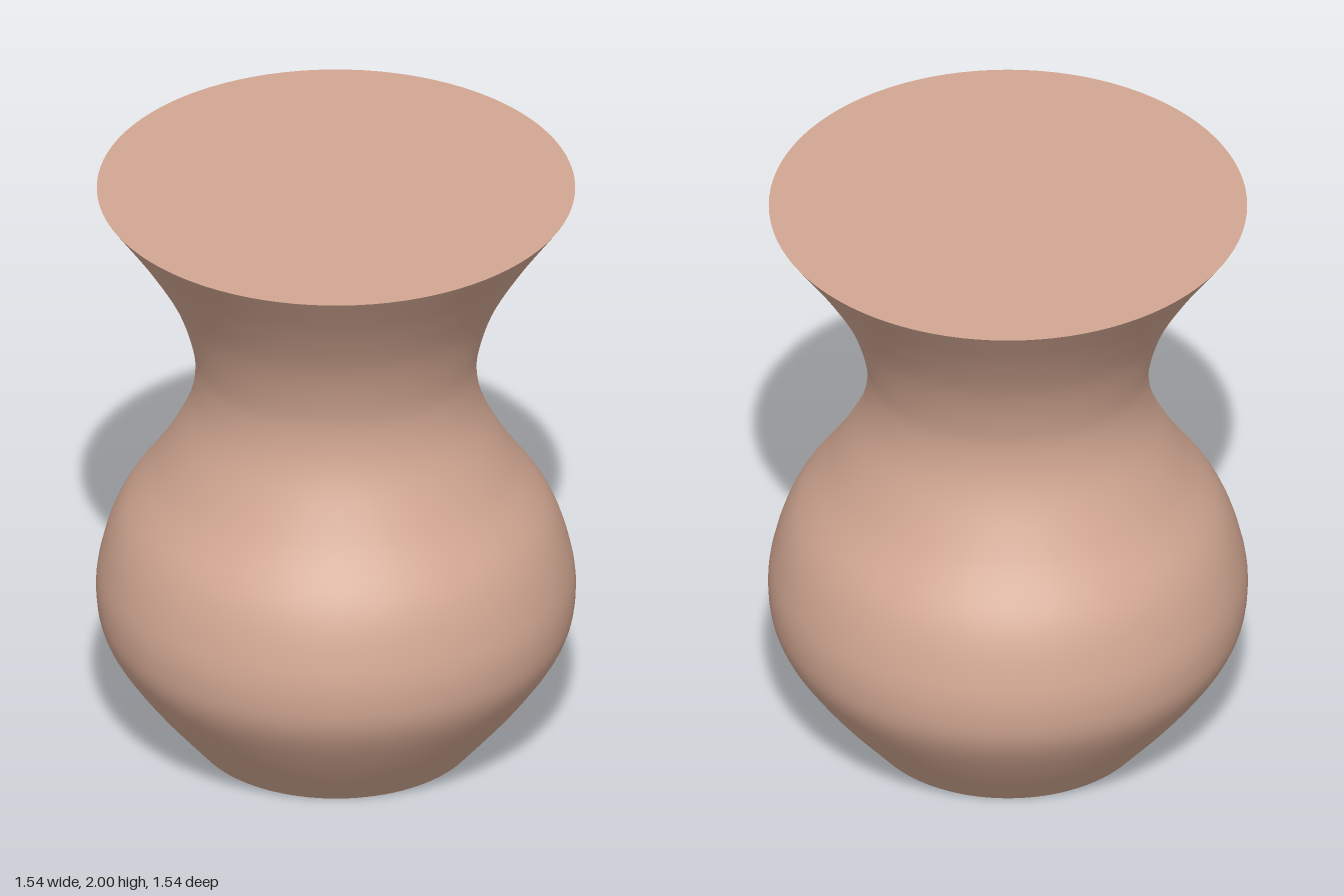
import * as THREE from 'three';

export function createModel() {
  const group = new THREE.Group();
  const clay = new THREE.MeshStandardMaterial({ color: 0xd2a792 });
  clay.name = 'warm clay';
  const segments = 96;

  // Outer profile as radius, height: narrow foot, round belly, tight neck, flared rim
  const profile = new THREE.SplineCurve([
    [0.46, 0], [0.625, 0.2], [0.742, 0.38], [0.772, 0.52], [0.755, 0.66],
    [0.697, 0.82], [0.575, 1.0], [0.482, 1.18], [0.453, 1.32],
    [0.468, 1.45], [0.527, 1.62], [0.637, 1.81], [0.77, 2],
  ].map(([r, y]) => new THREE.Vector2(r, y)));

  const addPart = (name, geometry) => {
    const mesh = new THREE.Mesh(geometry, clay);
    mesh.name = name;
    group.add(mesh);
    return mesh;
  };

  addPart('vaseBody', new THREE.LatheGeometry(profile.getPoints(72), segments));

  // Flat discs closing the solid, kept separate so the rims stay sharp
  const top = addPart('topCap', new THREE.CircleGeometry(0.77, segments));
  top.rotation.x = -Math.PI / 2;
  top.position.y = 2;
  const base = addPart('baseCap', new THREE.CircleGeometry(0.46, segments));
  base.rotation.x = Math.PI / 2;

  return group;
}
